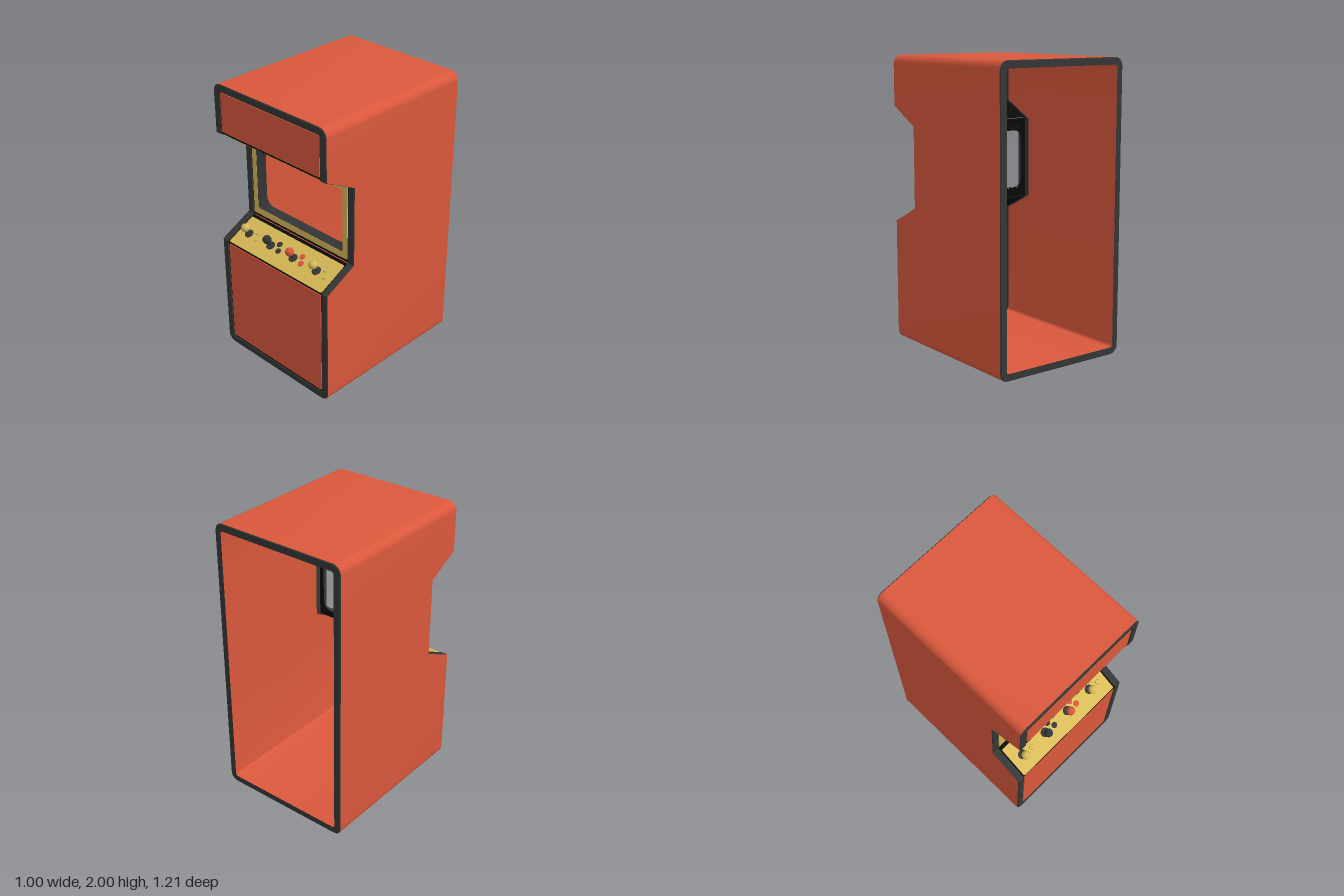
import * as THREE from 'three';
import { toCreasedNormals } from 'three/addons/utils/BufferGeometryUtils.js';

const material = (name, color) => {
  const m = new THREE.MeshStandardMaterial({ color });
  m.name = name;
  return m;
};

// Side profile of the front, bottom to top, as [z, y]
const FRONT = 0.602, BACK = -0.604, BEVEL = 0.006;
const PROFILE = [[FRONT, 0], [FRONT, 0.85], [0.363, 0.97], [0.363, 1.53], [FRONT, 1.655], [FRONT, 2]];
const BREAKS = PROFILE.slice(1, 5).map(p => p[1]);

function frontZ(y) {
  for (let i = 1; i < PROFILE.length; i++) {
    const [z0, y0] = PROFILE[i - 1], [z1, y1] = PROFILE[i];
    if (y <= y1) return z0 + (z1 - z0) * (y - y0) / (y1 - y0);
  }
  return FRONT;
}

// Counter-clockwise rounded rectangle, with optional extra points on its sides
function ring(half, y0, y1, r, breaks = []) {
  const pts = [], n = 8;
  const corner = (cx, cy, start) => {
    for (let i = 0; i <= n; i++) {
      const a = start + (i / n) * Math.PI / 2;
      pts.push([cx + r * Math.cos(a), cy + r * Math.sin(a)]);
    }
  };
  corner(half - r, y0 + r, -Math.PI / 2);
  breaks.forEach(y => pts.push([half, y]));
  corner(half - r, y1 - r, 0);
  corner(-half + r, y1 - r, Math.PI / 2);
  [...breaks].reverse().forEach(y => pts.push([-half, y]));
  corner(-half + r, y0 + r, Math.PI);
  return pts;
}

// Lift a ring into space with a depth rule
const at = (pts, z) => pts.map(([x, y]) => [x, y, typeof z === 'function' ? z(y) : z]);

// Closed strip of quads through a series of rings of equal length
function loft(...rings) {
  const pos = [];
  for (let k = 1; k < rings.length; k++) {
    const a = rings[k - 1], b = rings[k];
    a.forEach((p, i) => {
      const j = (i + 1) % a.length;
      pos.push(...p, ...b[i], ...b[j], ...p, ...b[j], ...a[j]);
    });
  }
  const g = new THREE.BufferGeometry();
  g.setAttribute('position', new THREE.Float32BufferAttribute(pos, 3));
  return toCreasedNormals(g, 0.5);
}

// Rounded plate whose front lies on local z = front
function plate(half, y0, y1, r, front, depth, hole) {
  const toVec = pts => pts.map(([x, y]) => new THREE.Vector2(x, y));
  const shape = new THREE.Shape(toVec(ring(half, y0, y1, r)));
  if (hole) shape.holes.push(new THREE.Path(toVec(hole).reverse()));
  const g = new THREE.ExtrudeGeometry(shape, { depth, bevelEnabled: false });
  g.translate(0, 0, front - depth);
  return g;
}

export function createModel() {
  const red = material('cabinet red', 0xda583c);
  const yellow = material('mustard yellow', 0xd8ba58);
  const charcoal = material('charcoal edging', 0x353636);
  const black = material('black trim', 0x0a0a0a);

  const model = new THREE.Group();
  model.name = 'arcadeCabinet';
  const add = (parent, name, geometry, mat) => {
    const mesh = new THREE.Mesh(geometry, mat);
    mesh.name = name;
    parent.add(mesh);
    return mesh;
  };

  // Hollow shell, open at the back
  const outer = ring(0.5, 0, 2, 0.06, BREAKS);
  const outerEdge = ring(0.5 - BEVEL, BEVEL, 2 - BEVEL, 0.06 - BEVEL, BREAKS);
  const inner = ring(0.451, 0.049, 1.951, 0.02, BREAKS);
  const shoulder = y => frontZ(y) - BEVEL;
  const lip = y => frontZ(y) - 0.055;
  add(model, 'outerShell', loft(at(outer, shoulder), at(outer, BACK + BEVEL)), red);
  add(model, 'innerShell', loft(at(inner, BACK), at(inner, lip)), red);

  // Bevelled edging at both ends of the shell
  add(model, 'frontEdging',
    loft(at(inner, lip), at(inner, frontZ), at(outerEdge, frontZ), at(outer, shoulder)), charcoal);
  add(model, 'backEdging',
    loft(at(outer, BACK + BEVEL), at(outerEdge, BACK), at(inner, BACK)), charcoal);

  // One frame per stretch of the front: local y runs up it, local z points out
  const sections = ['lowerFront', 'controls', 'screen', 'speaker', 'header'].map((name, i) => {
    const [z0, y0] = PROFILE[i], [z1, y1] = PROFILE[i + 1];
    const group = new THREE.Group();
    group.name = name;
    group.position.set(0, y0, z0);
    group.rotation.x = Math.atan2(z1 - z0, y1 - y0);
    model.add(group);
    return { group, length: Math.hypot(z1 - z0, y1 - y0) };
  });
  const [lower, controls, screen, speaker, header] = sections;

  // Thin black backings that show as gaps round the panels
  const backing = (s, y0, y1, hole) =>
    add(s.group, 'panelBacking', plate(0.451, y0, y1, 0.002, -0.009, 0.006, hole), black);
  // Coloured panels set just below the rim
  const panel = (s, name, y0, y1, mat, hole) =>
    add(s.group, name, plate(0.44, y0, y1, 0.008, -0.003, 0.006, hole), mat);

  backing(lower, 0.049, lower.length);
  panel(lower, 'lowerPanel', 0.066, 0.832, red);
  backing(controls, 0, controls.length);
  panel(controls, 'controlPanel', 0.006, controls.length - 0.025, yellow);
  backing(speaker, 0, speaker.length);
  panel(speaker, 'speakerPanel', 0.022, speaker.length - 0.008, yellow);
  backing(header, 0, header.length - 0.049);
  panel(header, 'headerPanel', 0.016, 0.29, red);

  // Screen bezel and its tapered surround, open in the middle
  const opening = ring(0.4, 0.06, 0.51, 0.018);
  const hole = ring(0.375, 0.076, 0.486, 0.065);
  backing(screen, -0.005, screen.length + 0.005, opening);
  panel(screen, 'screenBezel', 0.016, 0.549, yellow, opening);
  add(screen.group, 'screenSurround', loft(at(hole, -0.065), at(opening, -0.005)), charcoal);
  add(screen.group, 'screenSurroundBack', loft(at(opening, -0.005), at(hole, -0.065)), black);

  // Four player stations, each a joystick and two buttons
  const disc = (r0, r1, h) => new THREE.CylinderGeometry(r0, r1, h, 24).rotateX(Math.PI / 2);
  [yellow, charcoal, red, yellow].forEach((mat, i) => {
    const station = new THREE.Group();
    station.name = 'playerStation' + (i + 1);
    station.position.set(-0.353 + i * 0.2165, 0, -0.003);
    controls.group.add(station);
    add(station, 'joystickBase', disc(0.029, 0.032, 0.006), charcoal).position.set(0, 0.121, 0.003);
    add(station, 'joystickStick', disc(0.007, 0.008, 0.06), charcoal).position.set(0, 0.121, 0.033);
    add(station, 'joystickBall', new THREE.SphereGeometry(0.03, 24, 16), mat).position.set(0, 0.121, 0.066);
    [[0.055, 0.158], [0.082, 0.112]].forEach(([x, y]) => {
      add(station, 'button', disc(0.018, 0.021, 0.006), mat).position.set(x, y, 0.003);
    });
  });

  return model;
}
